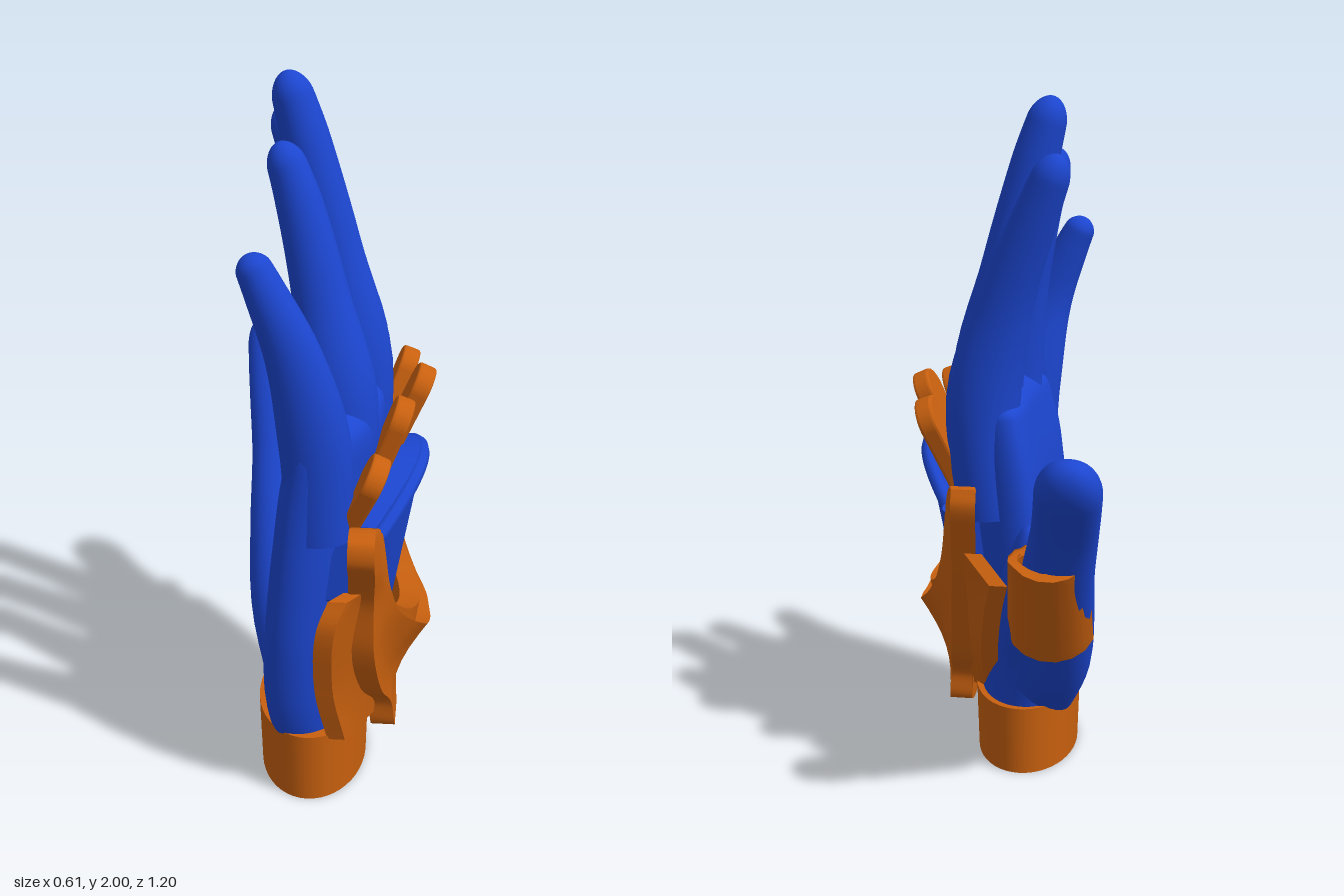
import * as THREE from 'three';

const blue = new THREE.MeshStandardMaterial({ color: 0x1c46d0, side: THREE.DoubleSide });
const orange = new THREE.MeshStandardMaterial({ color: 0xc8600f, side: THREE.DoubleSide });
const V = (x, y, z) => new THREE.Vector3(x, y, z);
const curve = (pts) => new THREE.CatmullRomCurve3(pts.map((p) => V(p[0], p[1], p[2])));

// Frame across a direction: a lies close to x, b completes it
function frame(t) {
  const a = V(1, 0, 0).addScaledVector(t, -t.x).normalize();
  return { a, b: a.clone().cross(t) };
}

// Rounded limb along rows of [x, y, z, radius near x, radius across]
function limb(rows, { tip = 0.1, square = 1, bend = 0, steps = 36, sides = 28 } = {}) {
  const path = curve(rows), radii = curve(rows.map((r) => [r[3], r[4], 0]));
  const pos = [], idx = [];
  for (let i = 0; i <= steps; i++) {
    const t = 1 - (1 - i / steps) ** 2;
    const c = path.getPoint(t), r = radii.getPoint(t);
    const { a, b } = frame(path.getTangent(t));
    const s = Math.max(0, (t - 1 + tip) / tip);
    const close = Math.sqrt(Math.max(0, 1 - s * s));
    for (let j = 0; j < sides; j++) {
      const w = (j / sides) * Math.PI * 2;
      const sq = (k) => Math.sign(k) * Math.abs(k) ** square;
      const p = c.clone()
        .addScaledVector(a, r.x * close * sq(Math.cos(w)))
        .addScaledVector(b, r.y * close * sq(Math.sin(w)));
      p.x -= bend * (p.z - 0.15) ** 2;
      pos.push(p.x, p.y, p.z);
      if (i < steps) {
        const k = (j + 1) % sides, n = i * sides, m = n + sides;
        idx.push(n + j, m + j, m + k, n + j, m + k, n + k);
      }
    }
  }
  const g = new THREE.BufferGeometry();
  g.setAttribute('position', new THREE.Float32BufferAttribute(pos, 3));
  g.setIndex(idx);
  g.computeVertexNormals();
  return g;
}

// Bent slab: fn(u, v, w) places each vertex, w = 1 is the outer face
function slab(fn, nu, nv) {
  const g = new THREE.BoxGeometry(1, 1, 1, nu, nv, 1), p = g.attributes.position;
  for (let i = 0; i < p.count; i++) {
    const q = fn(p.getX(i) + 0.5, p.getY(i) + 0.5, p.getZ(i) + 0.5);
    p.setXYZ(i, q.x, q.y, q.z);
  }
  g.computeVertexNormals();
  return g;
}

// Slab ruled between two edge curves, optionally hollowed in the middle
function plate(edgeA, edgeB, thick, nu, hollow = 0) {
  const A = curve(edgeA), B = curve(edgeB);
  return slab((u, v, w) => {
    const q = A.getPoint(u).lerp(B.getPoint(u), v);
    q.x -= hollow * Math.sin(Math.PI * v) * Math.sin(Math.PI * u) ** 6 + thick * (1 - w);
    return q;
  }, nu, 8);
}

export function createModel() {
  const model = new THREE.Group();
  const add = (name, geometry, material) => {
    const m = new THREE.Mesh(geometry, material);
    m.name = name;
    model.add(m);
    return m;
  };

  // Palm, arched across the knuckles
  add('palm', limb([
    [-0.015, 0.18, 0.2, 0.125, 0.235], [-0.02, 0.32, 0.2, 0.135, 0.275],
    [-0.01, 0.5, 0.185, 0.135, 0.32], [0.015, 0.75, 0.165, 0.135, 0.355],
    [0.035, 0.95, 0.16, 0.13, 0.365], [0.055, 1.1, 0.165, 0.115, 0.365],
    [0.06, 1.2, 0.17, 0.09, 0.35],
  ], { tip: 0.12, square: 0.9, bend: 0.5, sides: 48 }), blue);

  // Fingers, broad where they leave the palm
  const fingers = {
    littleFinger: [[0.01, 0.85, 0.45, 0.09, 0.07], [0.0, 1.12, 0.455, 0.095, 0.078],
      [-0.05, 1.36, 0.475, 0.074, 0.059], [-0.12, 1.53, 0.472, 0.054, 0.051], [-0.165, 1.625, 0.465, 0.042, 0.044]],
    ringFinger: [[0.04, 0.85, 0.29, 0.1, 0.08], [0.05, 1.17, 0.285, 0.105, 0.087],
      [0.0, 1.45, 0.255, 0.077, 0.067], [-0.06, 1.7, 0.228, 0.061, 0.059], [-0.11, 1.85, 0.218, 0.046, 0.048]],
    middleFinger: [[0.07, 0.85, 0.08, 0.1, 0.085], [0.08, 1.2, 0.075, 0.105, 0.09],
      [0.02, 1.52, 0.065, 0.078, 0.072], [-0.06, 1.83, 0.055, 0.066, 0.065], [-0.11, 2, 0.05, 0.05, 0.055]],
    indexFinger: [[0.04, 0.85, -0.1, 0.1, 0.095], [0.065, 1.17, -0.115, 0.105, 0.093],
      [0.0, 1.45, -0.15, 0.079, 0.069], [-0.09, 1.7, -0.19, 0.061, 0.059], [-0.155, 1.86, -0.22, 0.047, 0.05]],
  };
  for (const [name, rows] of Object.entries(fingers)) add(name, limb(rows), blue);

  // Thumb and the web that joins it to the palm
  add('thumb', limb([
    [-0.06, 0.18, 0.14, 0.11, 0.1], [-0.115, 0.38, -0.01, 0.125, 0.125], [-0.145, 0.57, -0.16, 0.115, 0.11],
    [-0.17, 0.75, -0.31, 0.1, 0.085], [-0.2, 0.92, -0.425, 0.09, 0.07], [-0.225, 1.13, -0.585, 0.088, 0.068],
  ], { tip: 0.09, square: 0.9 }), blue);
  add('thumbWeb', limb([
    [-0.06, 0.35, 0.05, 0.1, 0.12], [-0.07, 0.55, -0.08, 0.1, 0.14], [-0.08, 0.84, -0.21, 0.07, 0.08],
  ], { tip: 0.4 }), blue);

  // Wrist cuff
  const cuff = add('wristCuff', new THREE.CylinderGeometry(1.03, 0.99, 0.216, 48), orange);
  cuff.scale.set(0.156, 1, 0.255);
  cuff.position.set(-0.028, 0.108, 0.2);

  // Domed back panel with a rim along its arched top
  const arch = (z) => (z - 0.18) ** 2;
  add('backPanel', slab((u, v, w) => {
    const z = 0.47 - 0.59 * u;
    const top = 1 - 1.3 * arch(z), low = 0.5 + 2 * arch(z);
    return V(0.19 + 0.09 * v - 1.2 * arch(z) - 0.1 * (1 - w), low + (top - low) * v, z);
  }, 28, 8), blue);
  const rim = [];
  for (let i = 0; i <= 12; i++) {
    const z = 0.47 - (0.59 * i) / 12;
    rim.push([0.272 - 1.2 * arch(z), 0.98 - 1.3 * arch(z), z]);
  }
  add('backPanelRim', new THREE.TubeGeometry(curve(rim), 40, 0.022, 8), blue);

  // U-shaped gauntlet plate with two rounded horns and a tongue over the cuff
  add('gauntletPlate', plate([
    [0.165, 0.915, 0.55], [0.165, 0.9, 0.59], [0.165, 0.845, 0.6], [0.165, 0.78, 0.555], [0.16, 0.68, 0.49],
    [0.16, 0.5, 0.46], [0.18, 0.33, 0.38], [0.205, 0.24, 0.3], [0.215, 0.15, 0.28],
    [0.215, 0.13, 0.21], [0.215, 0.15, 0.14], [0.205, 0.24, 0.13], [0.19, 0.33, 0.03],
    [0.17, 0.5, -0.07], [0.15, 0.68, -0.17], [0.14, 0.82, -0.235], [0.135, 0.91, -0.265], [0.135, 0.955, -0.25],
  ], [
    [0.165, 0.915, 0.53], [0.17, 0.905, 0.5], [0.18, 0.87, 0.465], [0.19, 0.79, 0.45], [0.2, 0.7, 0.43],
    [0.225, 0.6, 0.39], [0.26, 0.535, 0.33], [0.295, 0.495, 0.28], [0.305, 0.475, 0.24],
    [0.31, 0.47, 0.2], [0.305, 0.475, 0.15], [0.295, 0.495, 0.1], [0.26, 0.54, 0.04],
    [0.225, 0.61, -0.015], [0.2, 0.7, -0.055], [0.18, 0.84, -0.1], [0.16, 0.92, -0.17], [0.14, 0.96, -0.235],
  ], 0.07, 90, 0.045), orange);

  // Crescent ledge between the gauntlet and the back panel
  add('gauntletLedge', plate(
    [[0.2, 0.6, 0.4], [0.25, 0.5, 0.31], [0.265, 0.45, 0.2], [0.25, 0.5, 0.09], [0.2, 0.6, -0.01]],
    [[0.2, 0.63, 0.395], [0.25, 0.57, 0.33], [0.28, 0.54, 0.2], [0.25, 0.57, 0.06], [0.2, 0.63, -0.03]],
    0.06, 24), orange);

  // Lower plates either side of the gauntlet
  add('littleFingerSidePlate', plate(
    [[0.09, 0.7, 0.535], [0.06, 0.62, 0.555], [0.05, 0.4, 0.5], [0.08, 0.2, 0.44]],
    [[0.13, 0.71, 0.5], [0.15, 0.6, 0.42], [0.15, 0.4, 0.36], [0.16, 0.2, 0.28]], 0.05, 20), orange);
  add('thumbSidePlate', plate(
    [[0.09, 0.2, 0.1], [0.08, 0.39, -0.08], [0.05, 0.58, -0.22], [0.02, 0.7, -0.31]],
    [[0.15, 0.2, 0.16], [0.15, 0.4, 0.03], [0.13, 0.6, -0.1], [0.1, 0.77, -0.25]], 0.05, 20), orange);

  // Guard wrapped around the outside of the thumb
  const from = V(-0.135, 0.52, -0.14), to = V(-0.15, 0.83, -0.36);
  const { a, b } = frame(to.clone().sub(from).normalize());
  add('thumbGuard', slab((u, v, w) => {
    const ang = THREE.MathUtils.degToRad(-165 + 215 * v), r = 0.09 + 0.03 * w;
    const p = from.clone().lerp(to, u)
      .addScaledVector(a, (r + 0.008) * (1 - 0.12 * u) * Math.cos(ang))
      .addScaledVector(b, r * (1 - 0.12 * u) * Math.sin(ang));
    p.y = Math.min(p.y, 0.8);
    return p;
  }, 12, 10), orange);

  // Knuckle tabs fanned over the finger bases: x, y, z, length, fan angle, outward tilt
  const tabs = [
    [0.11, 0.9, 0.42, 0.19, 0.25, 0.42], [0.15, 0.93, 0.285, 0.26, 0.03, 0.36],
    [0.18, 0.94, 0.11, 0.28, -0.03, 0.42], [0.155, 0.93, -0.05, 0.265, -0.32, 0.36],
  ];
  for (const [x, y, z, len, fan, tilt] of tabs) {
    const s = new THREE.Shape();
    s.moveTo(-0.055, 0);
    s.lineTo(0.055, 0);
    s.lineTo(0.063, len - 0.06);
    s.absellipse(0, len - 0.06, 0.063, 0.06, 0, Math.PI, false, 0);
    const g = new THREE.ExtrudeGeometry(s, {
      depth: 0.035, bevelSize: 0.006, bevelThickness: 0.008, bevelSegments: 2, curveSegments: 14,
    }).translate(0, 0, -0.03);
    const tab = add('knuckleTab', g, orange);
    tab.position.set(x, y, z);
    tab.rotation.set(fan, Math.PI / 2, -tilt, 'ZXY');
  }
  return model;
}
